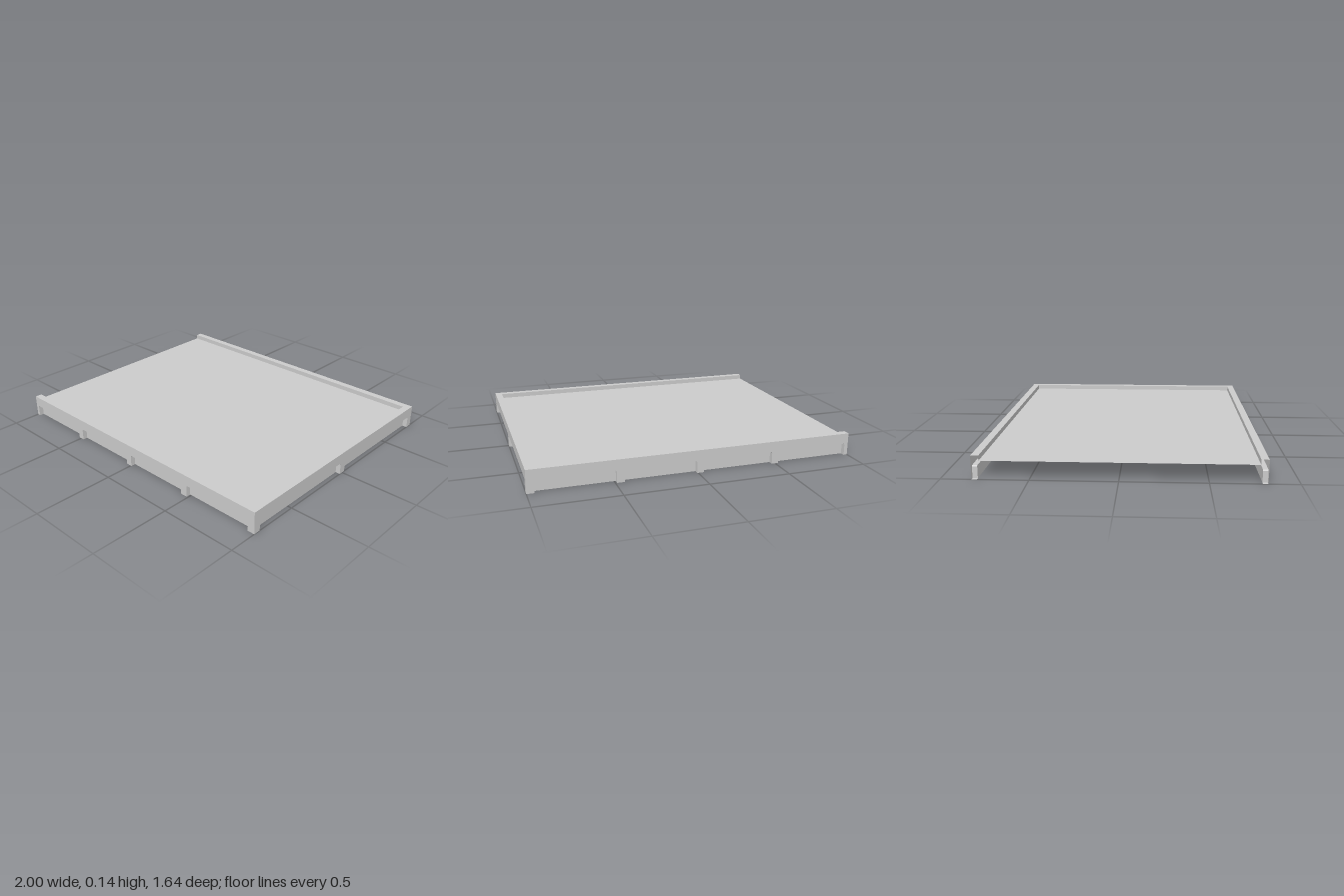
import * as THREE from 'three';

const X = 1, Z = 0.822, TOP = 0.14, DECK = 0.11, RIM = 0.045;
const NOTCH = 0.075, CHAMFER = 0.007, RECESS = 0.03;
const material = new THREE.MeshStandardMaterial({ color: 0xcccccc, side: THREE.DoubleSide });

function mesh(name, geometry) {
  const m = new THREE.Mesh(geometry, material);
  m.name = name;
  return m;
}

// Thin strip swept inward (or along an axis) from a run of points, with sharp folds
function strip(points, offset) {
  const pos = [];
  for (let i = 0; i < points.length - 1; i++) {
    const a = points[i], b = points[i + 1];
    const c = a.clone().add(offset), d = b.clone().add(offset);
    for (const p of [a, c, b, b, c, d]) pos.push(p.x, p.y, p.z);
  }
  const g = new THREE.BufferGeometry();
  g.setAttribute('position', new THREE.Float32BufferAttribute(pos, 3));
  g.computeVertexNormals();
  return g;
}

// Side wall facing +z: fascia with notches, folded returns and recessed panels
function wall(name, half, bays) {
  const group = new THREE.Group();
  group.name = name;
  const lower = [[-half, 0]];
  for (const [a, b] of bays) {
    lower.push([a, 0], [a, NOTCH - CHAMFER], [a + CHAMFER, NOTCH],
      [b - CHAMFER, NOTCH], [b, NOTCH - CHAMFER], [b, 0]);
    const panel = mesh('recessedPanel', new THREE.PlaneGeometry(b - a, NOTCH));
    panel.position.set((a + b) / 2, NOTCH / 2, -RECESS);
    group.add(panel);
  }
  lower.push([half, 0]);
  const outline = lower.map(([x, y]) => new THREE.Vector2(x, y));
  const shape = new THREE.Shape([...outline, new THREE.Vector2(half, TOP), new THREE.Vector2(-half, TOP)]);
  group.add(mesh('fascia', new THREE.ShapeGeometry(shape)));
  group.add(mesh('postReturns', strip(
    outline.map(p => new THREE.Vector3(p.x, p.y, 0)), new THREE.Vector3(0, 0, -RECESS))));
  return group;
}

export function createModel() {
  const model = new THREE.Group();
  model.name = 'roofSection';

  // Walls on three sides; the -x end stays open
  const longBays = [[-0.977, -0.518], [-0.477, -0.036], [0.006, 0.446], [0.49, 0.954]];
  const front = wall('frontWall', X, longBays);
  front.position.z = Z;
  const back = wall('backWall', X, longBays);
  back.position.z = -Z;
  back.scale.z = -1;
  const side = wall('leftWall', Z, [[-0.777, -0.023], [0.023, 0.777]]);
  side.rotation.y = Math.PI / 2;
  side.position.x = X;
  model.add(front, back, side);

  // Flat top of the raised rim, U-shaped in plan
  const xi = X - RIM, zi = Z - RIM;
  const plan = [[-X, -Z], [X, -Z], [X, Z], [-X, Z], [-X, zi], [xi, zi], [xi, -zi], [-X, -zi]];
  const cap = mesh('rimTop', new THREE.ShapeGeometry(
    new THREE.Shape(plan.map(([x, y]) => new THREE.Vector2(x, y)))).rotateX(-Math.PI / 2));
  cap.position.y = TOP;
  model.add(cap);

  // Inner face of the rim down to the deck
  model.add(mesh('rimInside', strip(
    plan.slice(4).map(([x, z]) => new THREE.Vector3(x, TOP, z)),
    new THREE.Vector3(0, DECK - TOP, 0))));

  // Deck sheet
  const deck = mesh('deck', new THREE.PlaneGeometry(X + xi, 2 * zi).rotateX(-Math.PI / 2));
  deck.position.set((xi - X) / 2, DECK, 0);
  model.add(deck);

  return model;
}
